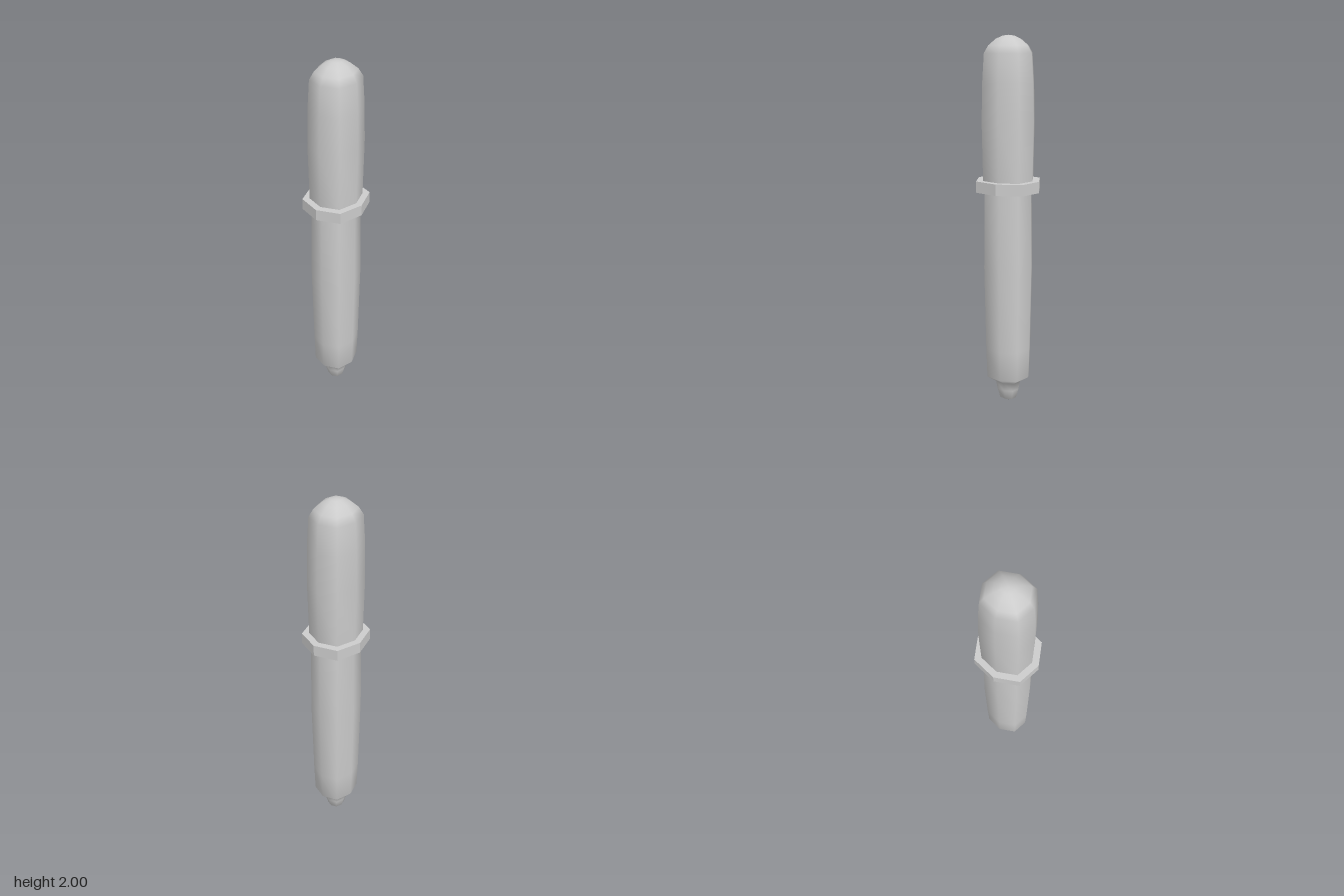
import * as THREE from 'three';
import { mergeVertices, toCreasedNormals } from 'three/addons/utils/BufferGeometryUtils.js';

const DEPTH = 1.078;   // cross-section is slightly deeper than wide
const CORNER = 1.06;   // diagonal corners sit a little further out

// Eight-sided turned shape from [radius, height] pairs, listed bottom to top
function turned(profile) {
  const geo = new THREE.LatheGeometry(profile.map(([r, y]) => new THREE.Vector2(r, y)), 8);
  const pos = geo.attributes.position;
  for (let i = 0; i < pos.count; i++) {
    const x = pos.getX(i), z = pos.getZ(i);
    const k = Math.abs(x) > 1e-4 && Math.abs(z) > 1e-4 ? CORNER : 1;
    pos.setX(i, x * k);
    pos.setZ(i, z * k * DEPTH);
  }
  geo.deleteAttribute('normal');
  geo.deleteAttribute('uv');
  const merged = mergeVertices(geo, 1e-5);
  merged.computeVertexNormals();
  return merged;
}

export function createModel() {
  const group = new THREE.Group();
  const material = new THREE.MeshStandardMaterial({ color: 0xcccccc });
  const add = (name, geometry) => {
    const mesh = new THREE.Mesh(geometry, material);
    mesh.name = name;
    group.add(mesh);
  };

  // Long barrel narrowing through a shoulder to a blunt tip
  add('barrel', turned([
    [0, 0], [0.043, 0.022], [0.057, 0.075], [0.065, 0.122], [0.111, 0.155],
    [0.116, 0.32], [0.124, 0.78], [0.119, 1.2], [0.119, 1.23],
  ]));

  // Upper cap with a rounded end
  add('cap', turned([
    [0.126, 1.22], [0.132, 1.56], [0.128, 1.76], [0.119, 1.91],
    [0.098, 1.948], [0.062, 1.98], [0.03, 1.996], [0, 2],
  ]));

  // Flat-sided collar where the two halves meet
  add('collar', toCreasedNormals(turned([
    [0, 1.195], [0.161, 1.195], [0.161, 1.255], [0, 1.255],
  ]), 0.3));

  return group;
}
